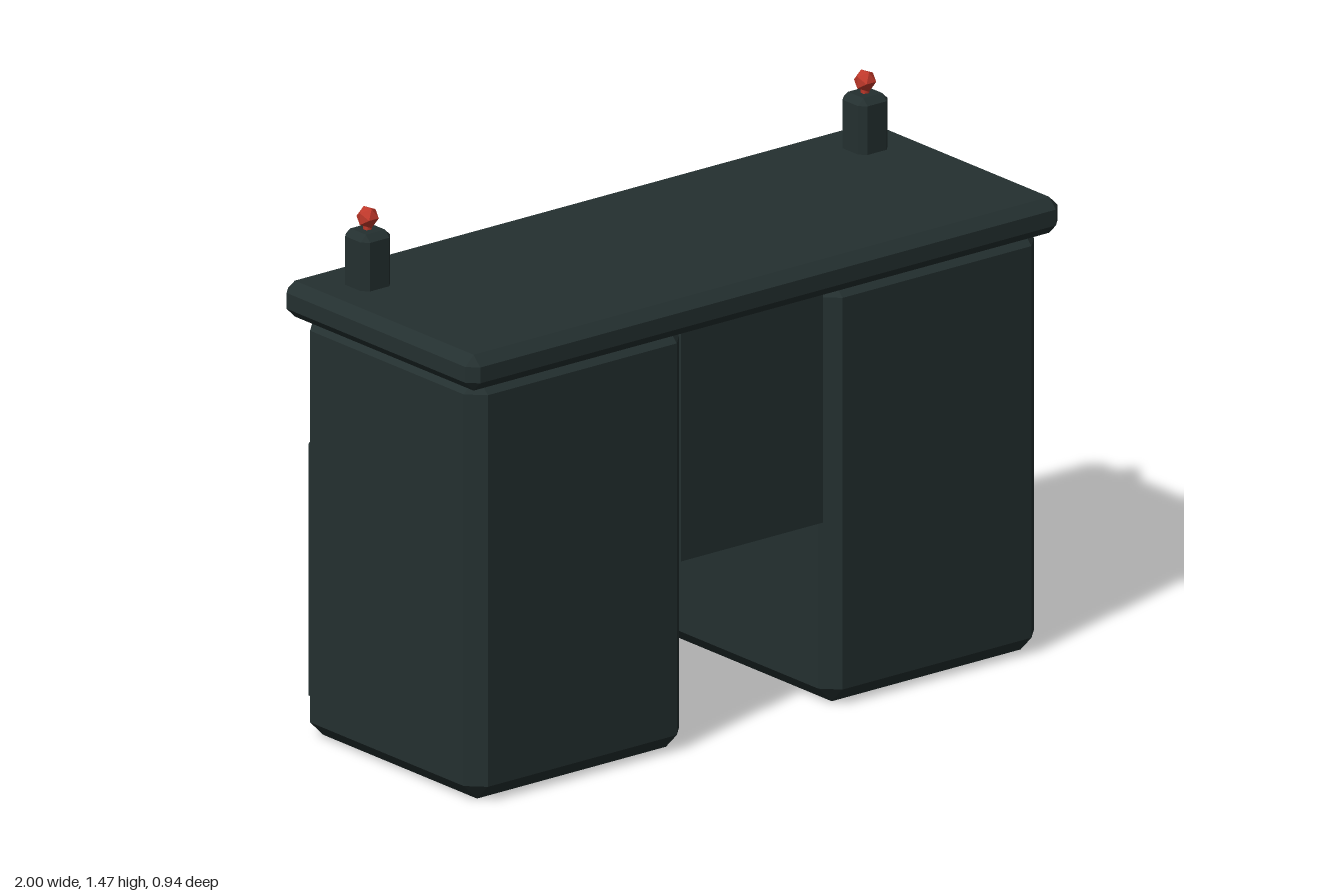
import * as THREE from 'three';
import { ConvexGeometry } from 'three/addons/geometries/ConvexGeometry.js';

const paint = (name, color) => {
  const m = new THREE.MeshStandardMaterial({ color });
  m.name = name;
  return m;
};

// Box with every edge cut at 45 degrees, between two corners
function bevelBox([x0, y0, z0], [x1, y1, z1], c, warp) {
  const h = [(x1 - x0) / 2, (y1 - y0) / 2, (z1 - z0) / 2];
  const mid = new THREE.Vector3((x0 + x1) / 2, (y0 + y1) / 2, (z0 + z1) / 2);
  const points = [];
  for (const sx of [-1, 1]) for (const sy of [-1, 1]) for (const sz of [-1, 1]) {
    for (let axis = 0; axis < 3; axis++) {
      const e = h.map((v, i) => (i === axis ? v : v - c));
      const p = new THREE.Vector3(sx * e[0], sy * e[1], sz * e[2]).add(mid);
      if (warp) warp(p);
      points.push(p);
    }
  }
  return new ConvexGeometry(points);
}

function plainBox([x0, y0, z0], [x1, y1, z1]) {
  return new THREE.BoxGeometry(x1 - x0, y1 - y0, z1 - z0)
    .translate((x0 + x1) / 2, (y0 + y1) / 2, (z0 + z1) / 2);
}

export function createModel() {
  const model = new THREE.Group();
  model.name = 'gatehouse';
  const body = paint('dark slate', 0x243030);
  const red = paint('signal red', 0xc0392b);
  const pale = paint('pale grey', 0xdde3e0);
  const teal = paint('teal', 0x2f8f8c);

  const add = (name, geometry, material) => {
    const mesh = new THREE.Mesh(geometry, material);
    mesh.name = name;
    model.add(mesh);
    return mesh;
  };

  // Small faceted lamp
  const lamp = (name, x, y, z) =>
    add(name, new THREE.IcosahedronGeometry(0.031, 0).rotateY(Math.PI / 2).translate(x, y, z), red);

  // Roof slab and the block bridging the passage
  add('roof', bevelBox([-1, 1.162, -0.331], [1, 1.262, 0.467], 0.028), body);
  add('lintel', plainBox([-0.24, 0.51, -0.275], [0.24, 1.17, 0.4]), body);

  for (const s of [-1, 1]) {
    const side = s > 0 ? 'left' : 'right';
    // Mirrored pair of corners about x = 0
    const span = (a, b) => (s > 0 ? [a, b] : [-b, -a]);

    // Main block
    const [b0, b1] = span(0.235, 0.963);
    add(side + 'Block', bevelBox([b0, 0, -0.296], [b1, 1.18, 0.432], 0.045), body);

    // Raised rear panel with two stripes
    const [p0, p1] = span(0.42, 0.92);
    add(side + 'Panel', bevelBox([p0, 0.08, -0.326], [p1, 0.805, -0.27], 0.015), body);
    const [r0, r1] = span(0.505, 0.84);
    for (const y of [0.175, 0.7])
      add(side + 'PanelStripe', plainBox([r0, y - 0.009, -0.334], [r1, y + 0.009, -0.3255]), red);

    // Pillar narrowing towards the top, with an upright light strip
    const cx = s * 0.343;
    const taper = (p) => {
      const t = p.y / 0.95;
      p.x = cx + (p.x - cx) * (1 - 0.13 * t);
      p.z = -0.262 + (p.z + 0.262) * (1 - 0.11 * t);
    };
    add(side + 'Pillar', bevelBox([cx - 0.086, 0.005, -0.433], [cx + 0.086, 0.95, -0.262], 0.023, taper), body);
    add(side + 'PillarStrip', plainBox([cx - 0.01, 0.19, -0.431], [cx + 0.01, 0.8, -0.415]), red);

    // Roof post with lamp
    const px = s * 0.84;
    add(side + 'RoofPost', bevelBox([px - 0.05, 1.24, -0.213], [px + 0.05, 1.415, -0.113], 0.018), body);
    add(side + 'LampNeck', new THREE.CylinderGeometry(0.012, 0.012, 0.02, 6).translate(px, 1.42, -0.163), red);
    lamp(side + 'RoofLamp', px, 1.448, -0.163);

    // Door frame upright
    const [f0, f1] = span(0.205, 0.237);
    add(side + 'DoorFrame', plainBox([f0, 0.005, -0.295], [f1, 0.53, -0.265]), pale);
  }

  // Door frame top and doorstep
  add('doorFrameTop', plainBox([-0.205, 0.51, -0.295], [0.205, 0.53, -0.265]), pale);
  add('doorstep', plainBox([-0.22, 0, -0.468], [0.22, 0.01, -0.262]), body);

  // Plate and lamp above the doorway
  add('doorPlate', bevelBox([-0.15, 0.65, -0.336], [0.15, 0.73, -0.26], 0.012), body);
  lamp('doorLamp', 0, 0.69, -0.352);

  // Long light bar under the eaves
  add('lightBarHousing', bevelBox([-0.52, 1.018, -0.32], [0.52, 1.056, -0.28], 0.012), body);
  add('lightBar', plainBox([-0.45, 1.03, -0.323], [0.45, 1.044, -0.317]), teal);

  return model;
}
